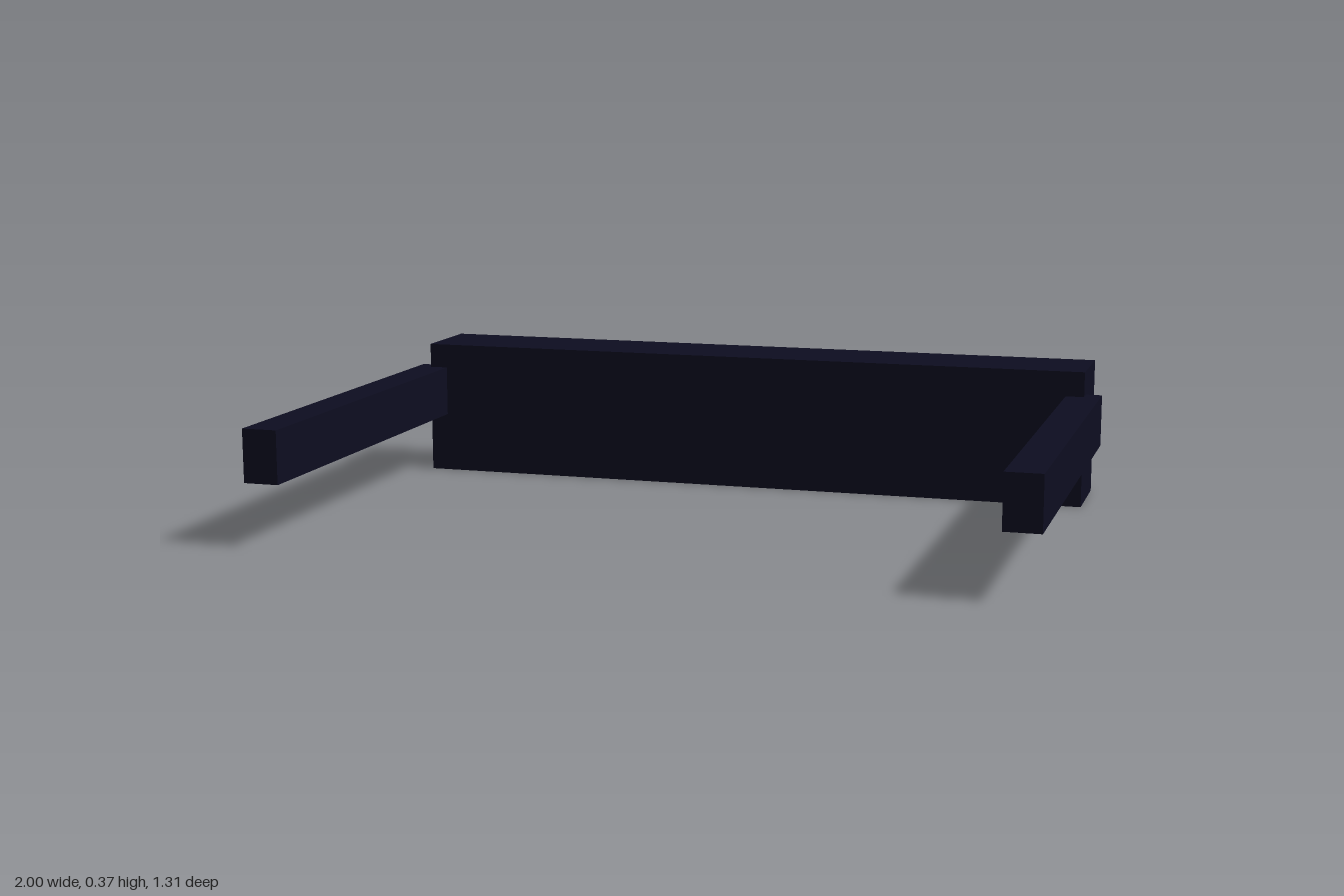
import * as THREE from 'three';

// Box spanning the given minimum and maximum corners
function boxBetween(name, min, max, material) {
  const size = max.map((v, i) => v - min[i]);
  const mesh = new THREE.Mesh(new THREE.BoxGeometry(...size), material);
  mesh.position.set(...max.map((v, i) => (v + min[i]) / 2));
  mesh.name = name;
  return mesh;
}

export function createModel() {
  const group = new THREE.Group();
  group.name = 'barWithArms';
  const navy = new THREE.MeshStandardMaterial({ color: 0x0d0d20 });
  navy.name = 'dark navy';

  // Deep crossbar along the back
  group.add(boxBetween('crossbar', [-0.957, 0, -0.656], [0.957, 0.373, -0.424], navy));

  // Slim arms reaching forward, let into the ends of the crossbar
  group.add(boxBetween('leftArm', [0.907, 0.166, -0.468], [1, 0.305, 0.656], navy));
  group.add(boxBetween('rightArm', [-1, 0.166, -0.468], [-0.907, 0.305, 0.656], navy));

  return group;
}
